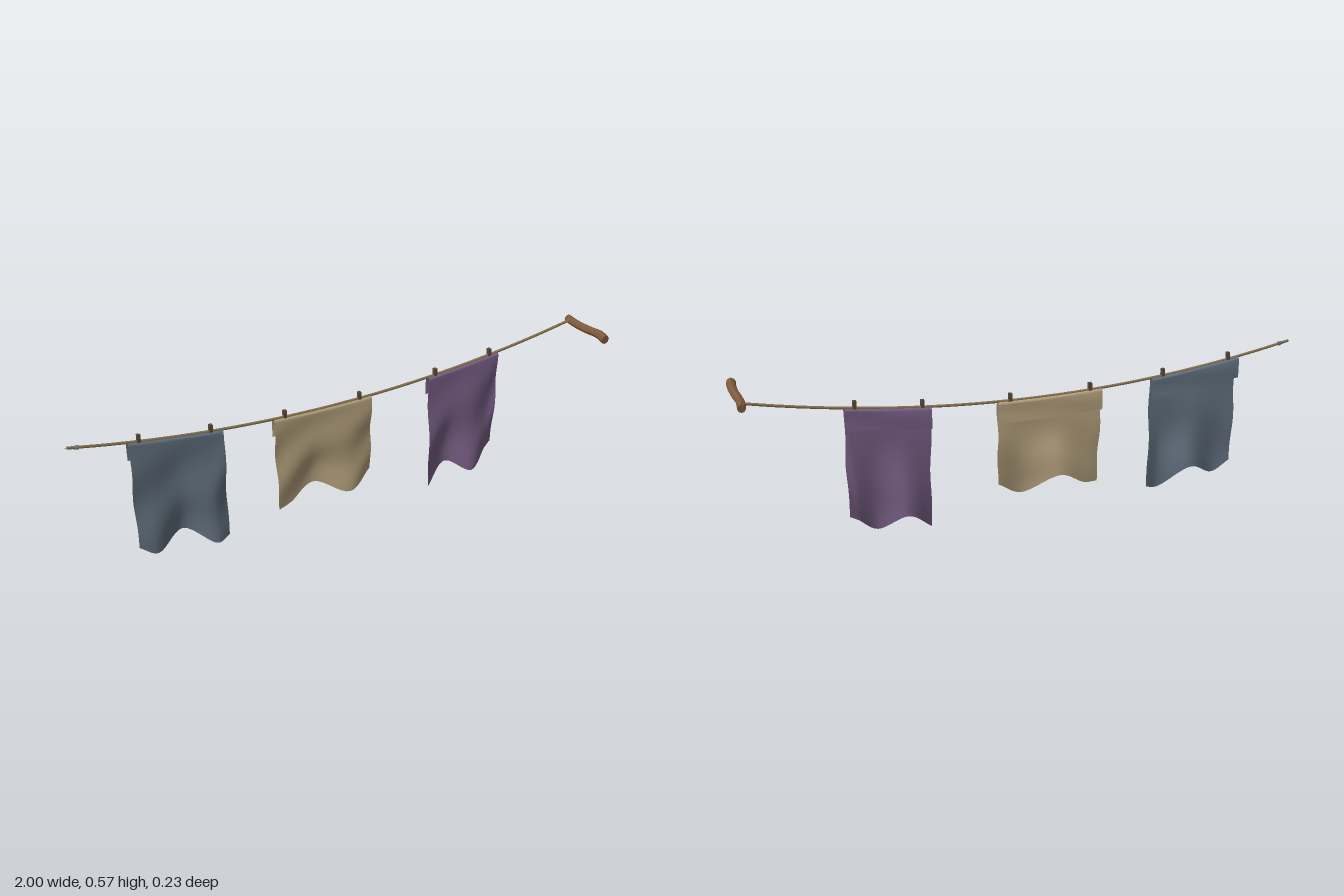
import * as THREE from 'three';

const mat = (name, color, extra = {}) => {
  const m = new THREE.MeshStandardMaterial({ color, ...extra });
  m.name = name;
  return m;
};

const ROPE_Z = -0.088;
const ropeY = (x) => 0.446 + 0.105 * x * x;

// A cloth folded over the line: bottom points are [x, y, z] along the hem.
function clothGeometry(hem, seed) {
  const curve = new THREE.CatmullRomCurve3(hem.map((p) => new THREE.Vector3(...p)));
  const cols = 28, flapRows = 4, foldRows = 8, frontRows = 20, r = 0.011;
  const pos = [], idx = [];
  const rows = flapRows + foldRows + frontRows;
  for (let i = 0; i <= cols; i++) {
    const u = i / cols;
    const h = curve.getPoint(u);
    const top = ropeY(h.x) - 0.011;
    for (let j = 0; j <= rows; j++) {
      let x = h.x, y, z;
      if (j < flapRows) {
        // short flap behind the line
        const t = 1 - j / flapRows;
        y = top - 0.066 * t;
        z = ROPE_Z - r - 0.002 * Math.sin(t * 3 + u * 5);
      } else if (j <= flapRows + foldRows) {
        // rounded fold
        const a = Math.PI * (1 - (j - flapRows) / foldRows);
        y = top + r * Math.sin(a);
        z = ROPE_Z + r * Math.cos(a);
      } else {
        // hanging front with folds growing towards the hem
        const t = (j - flapRows - foldRows) / frontRows;
        y = THREE.MathUtils.lerp(top, h.y, t);
        z = THREE.MathUtils.lerp(ROPE_Z + r, h.z, t * t * (2 - t));
        z += 0.006 * Math.sin(Math.PI * t) * Math.sin(7 * t + 6 * u + seed);
        x += 0.003 * Math.sin(Math.PI * t) * Math.sin(9 * t + seed);
      }
      pos.push(x, y, z);
      if (i < cols && j < rows) {
        const a = i * (rows + 1) + j, b = a + rows + 1;
        idx.push(a, a + 1, b, b, a + 1, b + 1);
      }
    }
  }
  const g = new THREE.BufferGeometry();
  g.setAttribute('position', new THREE.Float32BufferAttribute(pos, 3));
  g.setIndex(idx);
  g.computeVertexNormals();
  return g;
}

export function createModel() {
  const group = new THREE.Group();
  group.name = 'clothesline';
  const rope = mat('rope', 0x83704c);
  const wood = mat('branch wood', 0x7d5a3c);
  const pegWood = mat('peg wood', 0x5c4a38);
  const metal = mat('hook metal', 0x6d767c);
  const add = (name, geometry, material, x = 0, y = 0, z = 0) => {
    const m = new THREE.Mesh(geometry, material);
    m.name = name;
    m.position.set(x, y, z);
    group.add(m);
    return m;
  };

  // Sagging line
  const pts = [];
  for (let i = 0; i <= 16; i++) {
    const x = -0.99 + (1.97 * i) / 16;
    pts.push(new THREE.Vector3(x, ropeY(x), ROPE_Z));
  }
  add('line', new THREE.TubeGeometry(new THREE.CatmullRomCurve3(pts), 64, 0.005, 8), rope);

  // Small metal point at the free end
  const tip = add('endPoint', new THREE.ConeGeometry(0.008, 0.05, 6), metal, -0.975, ropeY(-0.975), ROPE_Z);
  tip.rotation.z = Math.PI / 2 - 0.2;

  // Crooked branch, running front to back
  const branch = new THREE.CylinderGeometry(0.0165, 0.0145, 0.228, 8, 10);
  branch.rotateX(Math.PI / 2);
  const p = branch.attributes.position;
  for (let i = 0; i < p.count; i++) {
    const z = p.getZ(i);
    const bend = 0.006 * Math.exp(-(((z - 0.075) / 0.04) ** 2));
    p.setY(i, p.getY(i) + 0.5425 + 0.04 * z + bend);
    p.setX(i, p.getX(i) + 0.978 + 0.005 * Math.sin(z * 26));
  }
  const flatBranch = branch.toNonIndexed();
  flatBranch.computeVertexNormals();
  add('branch', flatBranch, wood);

  // Three cloths
  const cloths = [
    ['blueCloth', 0x62717f, [[-0.79, 0.1, -0.066], [-0.725, 0.06, -0.062], [-0.62, 0.108, -0.098],
      [-0.505, 0.03, -0.06], [-0.455, 0.042, -0.075]]],
    ['tanCloth', 0xb3a07c, [[-0.265, 0.09, -0.064], [-0.21, 0.098, -0.08], [-0.115, 0.146, -0.098],
      [0.02, 0.084, -0.06], [0.115, 0.14, -0.092]]],
    ['purpleCloth', 0x775f85, [[0.35, 0.002, -0.06], [0.44, 0.07, -0.096],
      [0.54, 0.02, -0.057], [0.615, 0.08, -0.09], [0.645, 0.1, -0.1]]],
  ];
  cloths.forEach(([name, color, hem], i) => {
    add(name, clothGeometry(hem, i * 1.7), mat(name + ' fabric', color, { side: THREE.DoubleSide }));
  });

  // Pegs gripping the line
  for (const x of [-0.75, -0.497, -0.222, 0.07, 0.38, 0.61]) {
    const peg = add('peg', new THREE.BoxGeometry(0.012, 0.038, 0.013), pegWood, x, ropeY(x) + 0.007, ROPE_Z);
    peg.rotation.z = Math.atan(0.21 * x) * 0.3;
  }
  return group;
}
